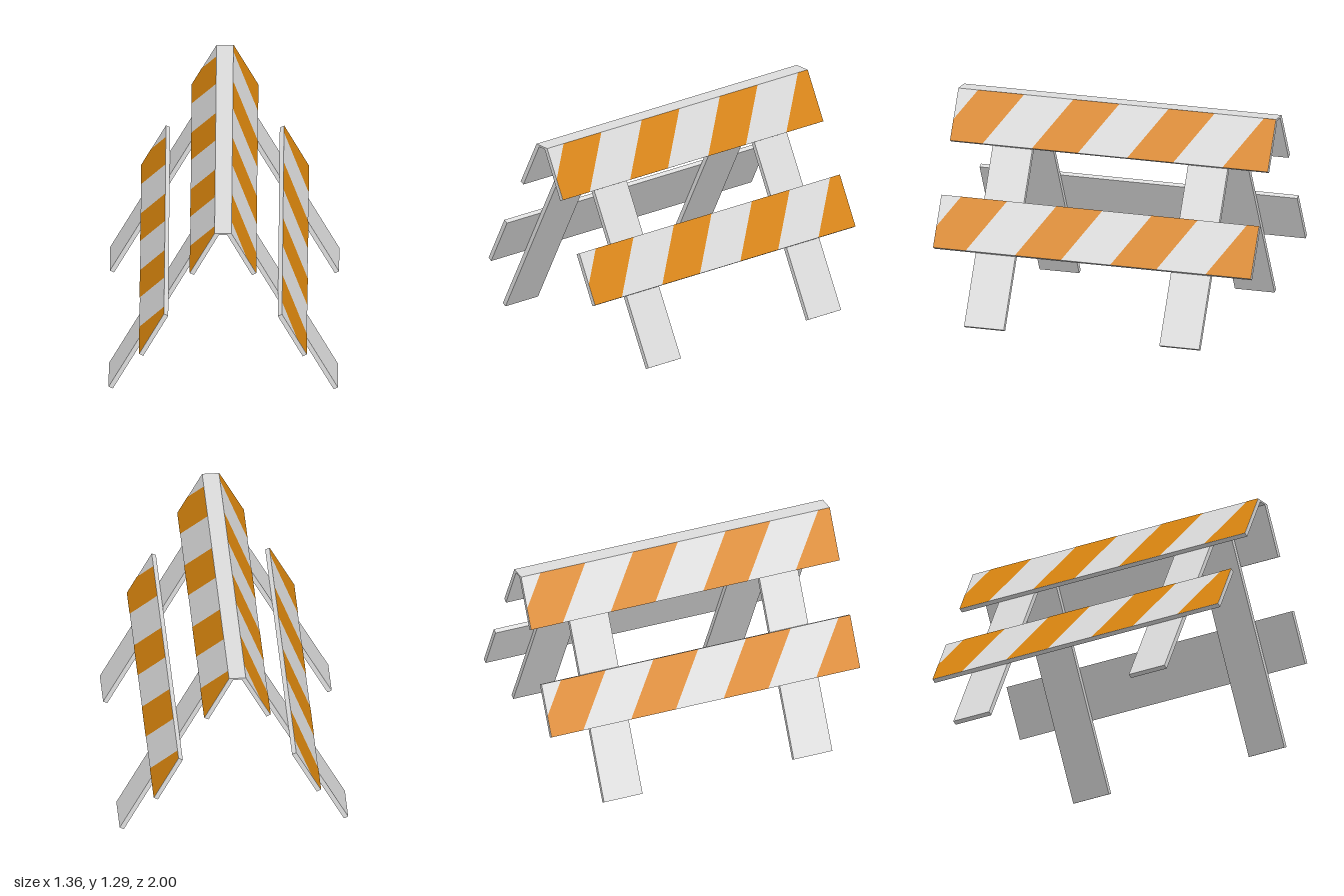
import * as THREE from 'three';

const white = new THREE.MeshStandardMaterial({ color: 0xdddddd });
white.name = 'pale grey';
const orange = new THREE.MeshStandardMaterial({ color: 0xdc870e });
orange.name = 'orange';

// Extrude an x-y outline between two z positions
function slab(name, outline, z0, z1) {
  const shape = new THREE.Shape(outline.map(([x, y]) => new THREE.Vector2(x, y)));
  const geo = new THREE.ExtrudeGeometry(shape, { depth: z1 - z0, bevelEnabled: false });
  geo.translate(0, 0, z0);
  const mesh = new THREE.Mesh(geo, white);
  mesh.name = name;
  return mesh;
}

// Slanted stripes on a sloping face; t runs 0 (upper edge) to 1 (lower edge)
function stripes(name, top, bottom) {
  const lean = 0.21, width = 0.29, step = 0.6, start = 0.875, lift = 0.0015;
  const dx = bottom[0] - top[0], dy = bottom[1] - top[1], len = Math.hypot(dx, dy);
  const nx = -dy / len, ny = dx / len;
  const pos = [];
  for (let k = 0; k < 4; k++) {
    const a = start - k * step, b = a - width;
    const poly = [[Math.max(b, -1), 0], [Math.min(a, 1), 0]];
    if (a + lean > 1) poly.push([1, (1 - a) / lean]);
    poly.push([Math.min(a + lean, 1), 1], [Math.max(b + lean, -1), 1]);
    const pts = poly.map(([z, t]) => [top[0] + dx * t + nx * lift, top[1] + dy * t + ny * lift, z]);
    for (let i = 1; i < pts.length - 1; i++) pos.push(...pts[0], ...pts[i], ...pts[i + 1]);
  }
  const geo = new THREE.BufferGeometry();
  geo.setAttribute('position', new THREE.Float32BufferAttribute(pos, 3));
  geo.computeVertexNormals();
  const mesh = new THREE.Mesh(geo, orange);
  mesh.name = name;
  return mesh;
}

export function createModel() {
  const model = new THREE.Group();
  model.name = 'barricade';

  // Two A-shaped leg frames
  const legs = [[0.68, 0.013], [0.025, 1.277], [-0.025, 1.277], [-0.68, 0.013],
    [-0.655, 0], [0, 1.264], [0.655, 0]];
  model.add(slab('frontLegs', legs, 0.49, 0.74), slab('backLegs', legs, -0.74, -0.49));

  // Folded upper board with flat ridge
  model.add(slab('upperBoard', [[0.197, 1.003], [0.05, 1.287], [-0.05, 1.287], [-0.197, 1.003],
    [-0.172, 0.99], [-0.025, 1.276], [0.025, 1.276], [0.172, 0.99]], -1, 1));

  // Each side: lower board and stripes, the second turned half way round
  for (const side of ['left', 'right']) {
    const half = new THREE.Group();
    half.name = side + 'Side';
    half.add(
      slab('lowerBoard', [[0.35, 0.71], [0.325, 0.697], [0.473, 0.41], [0.497, 0.424]], -1, 1),
      stripes('upperStripes', [0.05, 1.287], [0.197, 1.003]),
      stripes('lowerStripes', [0.35, 0.71], [0.497, 0.424]));
    if (side === 'right') half.rotation.y = Math.PI;
    model.add(half);
  }
  return model;
}
